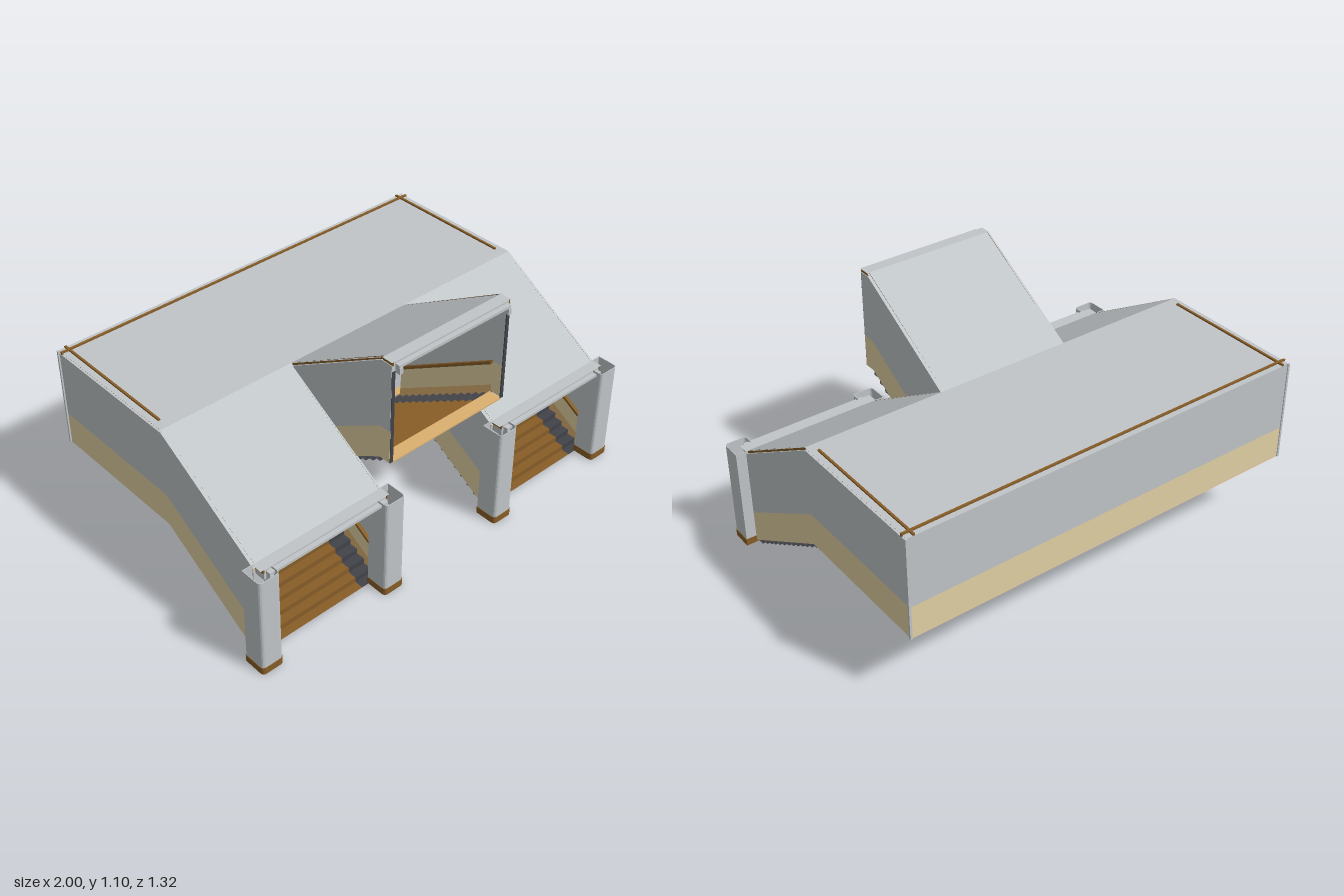
import * as THREE from 'three';

const mat = (name, color, side = THREE.FrontSide) => {
  const m = new THREE.MeshStandardMaterial({ color, side });
  m.name = name;
  return m;
};

export function createModel() {
  const grey = mat('grey panel', 0xc0c5c8, THREE.DoubleSide);
  const tan = mat('tan wainscot', 0xe1d1a4);
  const brown = mat('brown timber', 0x875d28, THREE.DoubleSide);
  const dark = mat('dark steel', 0x42434a, THREE.DoubleSide);
  const orange = mat('light timber', 0xdcb070);
  const amber = mat('amber soffit', 0xc29047);
  const slate = mat('slate frame', 0x666c70);

  const model = new THREE.Group();
  model.name = 'stairHall';

  const add = (name, geo, material) => {
    const m = new THREE.Mesh(geo, material);
    m.name = name;
    model.add(m);
  };
  // Box given by its min and max on each axis
  const box = (name, x0, x1, y0, y1, z0, z1, material) => {
    const g = new THREE.BoxGeometry(x1 - x0, y1 - y0, z1 - z0);
    g.translate((x0 + x1) / 2, (y0 + y1) / 2, (z0 + z1) / 2);
    add(name, g, material);
  };
  // Closed outline between two heights above a path of [z, y] points
  const band = (path, lo, hi) => [
    ...path.map(([z, y]) => [z, Math.max(0, y + lo)]),
    ...path.map(([z, y]) => [z, y + hi]).reverse(),
  ];
  // Side profile extruded from x0 to x1
  const prism = (name, pts, x0, x1, material) => {
    const shape = new THREE.Shape(pts.map(([z, y]) => new THREE.Vector2(z, y)));
    const g = new THREE.ExtrudeGeometry(shape, { depth: x1 - x0, bevelEnabled: false });
    g.rotateY(-Math.PI / 2);
    g.translate(x1, 0, 0);
    add(name, g, material);
  };
  // Flat side profile whose front points to dir
  const sheet = (name, pts, x, dir, material) => {
    const shape = new THREE.Shape(pts.map(([z, y]) => new THREE.Vector2(-dir * z, y)));
    const g = new THREE.ShapeGeometry(shape);
    g.rotateY(dir * Math.PI / 2);
    g.translate(x, 0, 0);
    add(name, g, material);
  };
  // Thin folded surface along a path that runs from front to back
  const ribbon = (name, path, x0, x1, material) => {
    const v = [];
    for (let i = 0; i < path.length - 1; i++) {
      const [za, ya] = path[i], [zb, yb] = path[i + 1];
      const a = [x0, ya, za], b = [x1, ya, za], c = [x1, yb, zb], d = [x0, yb, zb];
      v.push(...a, ...b, ...c, ...a, ...c, ...d);
    }
    const g = new THREE.BufferGeometry();
    g.setAttribute('position', new THREE.Float32BufferAttribute(v, 3));
    g.computeVertexNormals();
    add(name, g, material);
  };
  // Wall with tan lower band and grey upper band; dir points indoors
  const wall = (name, path, stairPath, x, dir) => {
    prism(name + 'Lower', band(path, 0, 0.15), x - 0.005, x + 0.005, tan);
    prism(name + 'Upper', band(path, 0.15, 0.456), x - 0.005, x + 0.005, grey);
    sheet('roofEdgeTrim', band(path, 0.456, 0.47), x + dir * 0.004, dir, brown);
    sheet('skirting', band(stairPath, -0.03, 0.035), x + dir * 0.007, dir, orange);
    const c = x + dir * 0.013;
    prism('handrail', band(stairPath, 0.143, 0.157), c - 0.008, c + 0.008, brown);
    prism('ceilingTrim', band(stairPath, 0.43, 0.45), c - 0.008, c + 0.008, brown);
  };
  // Folded staircase from its low to its high end: timber with steel at both sides
  const stairs = (name, [za, ya], [zb, yb], cx) => {
    const n = 13, line = [];
    for (let i = 0; i < n; i++) {
      const y = ya + (yb - ya) * i / n;
      line.push([za + (zb - za) * i / n, y], [za + (zb - za) * (i + 1) / n, y]);
    }
    line.push([zb, yb]);
    if (zb > za) line.reverse();
    ribbon(name + 'Treads', line, cx - 0.225, cx + 0.225, brown);
    ribbon(name + 'Edge', line, cx - 0.31, cx - 0.225, dark);
    ribbon(name + 'Edge', line, cx + 0.225, cx + 0.31, dark);
  };
  // Portal lintel with chamfered corners, brown end caps and a gutter
  const portal = (cx, top, half) => {
    const p = [[-half, 0], [-half, -0.05], [-half + 0.02, -0.045], [-half + 0.055, -0.022],
      [half - 0.055, -0.022], [half - 0.02, -0.045], [half, -0.05], [half, 0]];
    const g = new THREE.ExtrudeGeometry(
      new THREE.Shape(p.map(([x, y]) => new THREE.Vector2(x, y))),
      { depth: 0.05, bevelEnabled: false });
    g.translate(cx, top, 0.555);
    add('lintel', g, grey);
    box('gutter', cx - half + 0.01, cx + half - 0.01, top - 0.02, top - 0.008, 0.605, 0.626, grey);
    for (const s of [-1, 1]) {
      const x = cx + s * (half - 0.018), e = cx + s * (half + 0.002);
      box('gutterEnd', x - 0.008, x + 0.008, top - 0.047, top - 0.02, 0.605, 0.63, grey);
      box('lintelCap', e - 0.003, e + 0.003, top - 0.014, top + 0.001, 0.555, 0.606, brown);
    }
  };
  // Hollow column outline, rounded on the side of f
  const ring = (hw, wallT, f) => {
    const outline = (p, h, r) => {
      p.moveTo(-h, -h * f);
      p.lineTo(-h, (h - r) * f);
      p.quadraticCurveTo(-h, h * f, -h + r, h * f);
      p.lineTo(h - r, h * f);
      p.quadraticCurveTo(h, h * f, h, (h - r) * f);
      p.lineTo(h, -h * f);
      p.closePath();
      return p;
    };
    const shape = outline(new THREE.Shape(), hw, 0.018);
    shape.holes.push(outline(new THREE.Path(), hw - wallT, 0.015));
    return shape;
  };
  const tube = (name, cx, hw, wallT, y0, y1, material) => {
    const g = new THREE.ExtrudeGeometry(ring(hw, wallT, -1),
      { depth: y1 - y0, bevelEnabled: false, curveSegments: 4 });
    g.rotateX(-Math.PI / 2);
    g.translate(cx, y0, 0.603);
    add(name, g, material);
  };

  // Hall floor and underside
  box('hallFloor', -0.94, 0.94, 0.326, 0.33, -0.65, 0.03, orange);
  box('floorFrame', -0.945, 0.945, 0.322, 0.326, -0.655, 0.03, slate);
  box('floorSoffit', -0.89, 0.89, 0.321, 0.322, -0.605, 0.03, amber);
  for (const x of [-0.65, 0, 0.65]) {
    const g = new THREE.CylinderGeometry(0.07, 0.07, 0.001, 6);
    g.scale(1, 1, 0.8);
    g.translate(x, 0.3205, -0.35);
    add('soffitPlate', g, brown);
  }

  // Hall back wall and roof
  box('backWallLower', -0.945, 0.945, 0.32, 0.47, -0.66, -0.65, tan);
  box('backWallUpper', -0.945, 0.945, 0.47, 0.788, -0.66, -0.65, grey);
  box('backSkirting', -0.94, 0.94, 0.33, 0.355, -0.65, -0.645, orange);
  ribbon('hallRoof', [[0.03, 0.79], [-0.66, 0.79]], -0.95, 0.95, grey);
  box('roofTrimBack', -0.955, 0.955, 0.785, 0.797, -0.637, -0.627, brown);

  // Side walls, side stairs and their portals, mirrored
  const hall = [[-0.66, 0.32], [0.03, 0.32]];
  const flight = [[0.03, 0.32], [0.51, 0.033], [0.56, 0.003]];
  for (const s of [-1, 1]) {
    wall('outerWall', [hall[0], ...flight], flight, s * 0.945, -s);
    wall('innerStairWall', flight, flight, s * 0.315, s);
    sheet('hallSkirting', band(hall, 0, 0.035), s * 0.938, -s, orange);
    stairs('sideStair', [0.56, 0.002], [0.03, 0.32], s * 0.63);
    ribbon('sideStairRoof', [[0.605, 0.475], [0.555, 0.475], [0.03, 0.79]],
      s > 0 ? 0.31 : -0.95, s > 0 ? 0.95 : -0.31, grey);
    portal(s * 0.63, 0.473, 0.305);
    box('roofTrimSide', s * 0.918 - 0.005, s * 0.918 + 0.005, 0.78, 0.797, -0.66, -0.02, brown);
    box('cornerPost', s * 0.952 - 0.005, s * 0.952 + 0.005, 0.32, 0.788, -0.664, -0.656, grey);
    box('hallPost', s * 0.315 - 0.035, s * 0.315 + 0.035, 0.33, 0.78, -0.075, -0.005, grey);
    box('hallPostFoot', s * 0.315 - 0.05, s * 0.315 + 0.05, 0.32, 0.321, -0.09, 0.01, slate);
    for (const x of [0.947, 0.318]) {
      tube('column', s * x, 0.05, 0.003, 0.032, 0.475, grey);
      tube('columnBase', s * x, 0.052, 0.003, 0, 0.032, brown);
      const sole = new THREE.ShapeGeometry(ring(0.052, 0.014, 1), 4);
      sole.rotateX(Math.PI / 2);
      sole.translate(s * x, 0, 0.603);
      add('columnSole', sole, brown);
    }
  }

  // Middle stair rising toward the front
  const climb = [[0.03, 0.32], [0.55, 0.632]];
  for (const s of [-1, 1]) {
    wall('middleStairWall', [...climb, [0.605, 0.632]], climb, s * 0.308, -s);
    box('middleWallEnd', s * 0.304 - 0.008, s * 0.304 + 0.008, 0.632, 1.06, 0.603, 0.607, dark);
  }
  stairs('middleStair', [0.03, 0.32], [0.55, 0.632], 0);
  box('middleLanding', -0.3, 0.3, 0.626, 0.632, 0.545, 0.606, orange);
  ribbon('middleStairRoof', [[0.605, 1.102], [0.555, 1.102], [0.03, 0.79]], -0.313, 0.313, grey);
  portal(0, 1.1, 0.305);

  return model;
}
